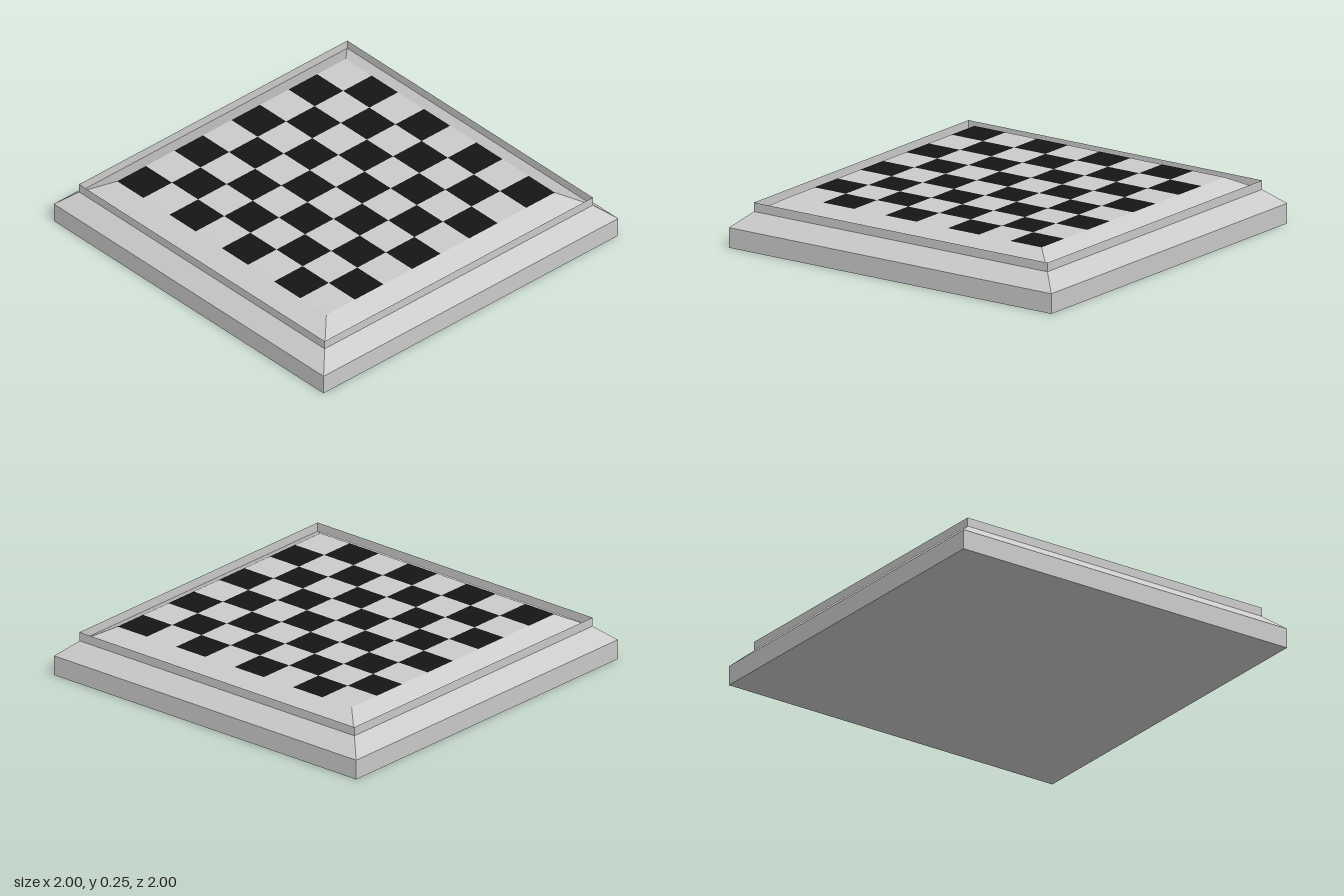
import * as THREE from 'three';
import { mergeGeometries } from 'three/addons/utils/BufferGeometryUtils.js';

const HALF = 0.775;   // half width of the playing field
const TOP = 0.255;    // height of the playing field
const CELLS = 8;

// Square-plan solid: a profile of [half width, height], bottom to top, swept over four sides
function squareSweep(name, profile, material) {
  const points = profile.map(([half, y]) => new THREE.Vector2(half * Math.SQRT2, y));
  const geometry = new THREE.LatheGeometry(points, 4, Math.PI / 4).toNonIndexed();
  geometry.computeVertexNormals();
  const mesh = new THREE.Mesh(geometry, material);
  mesh.name = name;
  return mesh;
}

// All squares of one colour, lying flat
function squares(name, parity, material) {
  const size = (2 * HALF) / CELLS;
  const cells = [];
  for (let row = 0; row < CELLS; row++) {
    for (let col = 0; col < CELLS; col++) {
      if ((row + col) % 2 !== parity) continue;
      cells.push(new THREE.PlaneGeometry(size, size)
        .rotateX(-Math.PI / 2)
        .translate(-HALF + (col + 0.5) * size, TOP, -HALF + (row + 0.5) * size));
    }
  }
  const mesh = new THREE.Mesh(mergeGeometries(cells), material);
  mesh.name = name;
  return mesh;
}

export function createModel() {
  const grey = new THREE.MeshStandardMaterial({ color: 0xcccccc, flatShading: true });
  const thin = new THREE.MeshStandardMaterial({ color: 0xcccccc, flatShading: true, side: THREE.DoubleSide });
  const black = new THREE.MeshStandardMaterial({ color: 0x151515 });

  const board = new THREE.Group();
  board.name = 'chessboard';
  board.add(
    // Base with its bevelled shoulder and closed underside
    squareSweep('base', [[0, 0], [1, 0], [1, 0.105], [0.91, 0.183]], grey),
    // Thin upright lip
    squareSweep('rim', [[0.91, 0.183], [0.91, 0.23]], thin),
    // Border sloping up from the foot of the lip to the field
    squareSweep('border', [[0.91, 0.183], [HALF, TOP]], grey),
    // Playing field
    squares('darkSquares', 0, black),
    squares('lightSquares', 1, grey),
  );
  return board;
}
